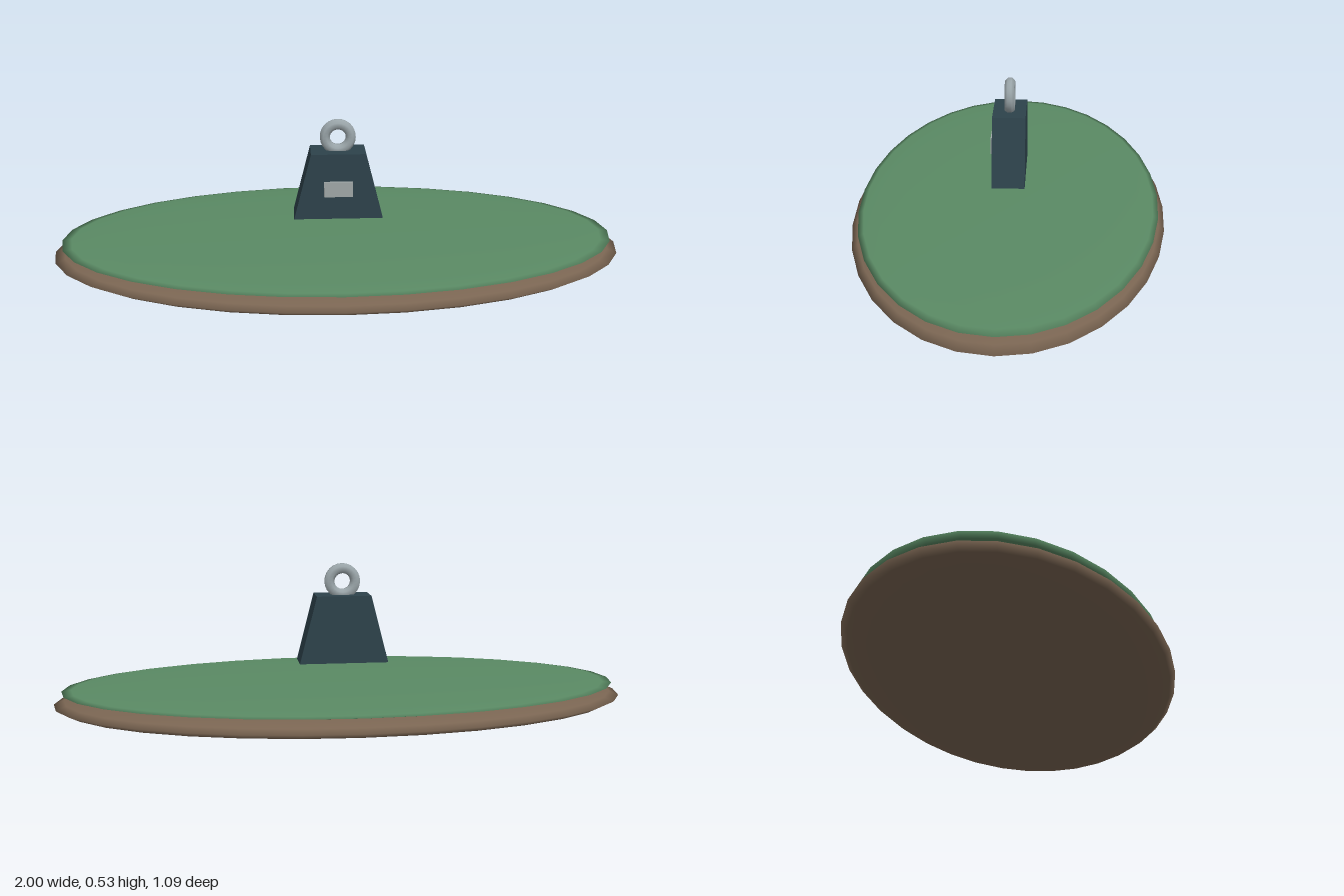
import * as THREE from 'three';

const material = (name, color) => {
  const m = new THREE.MeshStandardMaterial({ color });
  m.name = name;
  return m;
};

export function createModel() {
  const group = new THREE.Group();
  const earth = material('earth brown', 0x7a6552);
  const grass = material('grass green', 0x5a8a64);
  const iron = material('dark iron', 0x2d424b);
  const steel = material('steel', 0x9aa5a9);
  const label = material('pale grey', 0xa0a7a7);

  const add = (name, geometry, mat, x, y, z) => {
    const mesh = new THREE.Mesh(geometry, mat);
    mesh.name = name;
    mesh.position.set(x, y, z);
    group.add(mesh);
    return mesh;
  };

  // Oval ground: two flattened spheres, grass sitting on earth
  const disc = (rx, ry, rz) => new THREE.SphereGeometry(1, 32, 12).scale(rx, ry, rz);
  add('groundBase', disc(1, 0.06, 0.545), earth, 0, 0.06, 0);
  add('grassTop', disc(0.973, 0.018, 0.523), grass, 0, 0.105, 0);

  // Tapered weight hovering above the ground
  const outline = new THREE.Shape([
    new THREE.Vector2(-0.155, 0.19),
    new THREE.Vector2(0.155, 0.19),
    new THREE.Vector2(0.095, 0.425),
    new THREE.Vector2(-0.095, 0.425),
  ]);
  add('weightBody', new THREE.ExtrudeGeometry(outline, { depth: 0.114, bevelEnabled: false }), iron, 0, 0, -0.057);

  // Small plate on the front of the weight
  add('frontPlate', new THREE.BoxGeometry(0.1, 0.054, 0.009), label, 0, 0.3, 0.0615);

  // Lifting ring with an eight-sided section, flat on its rim
  const section = [];
  for (let i = 0; i <= 8; i++) {
    const a = (i - 0.5) * Math.PI / 4;
    section.push(new THREE.Vector2(0.045 + 0.0185 * Math.cos(a), 0.0185 * Math.sin(a)));
  }
  add('liftingRing', new THREE.LatheGeometry(section, 24).rotateX(Math.PI / 2), steel, 0, 0.472, 0);

  return group;
}
